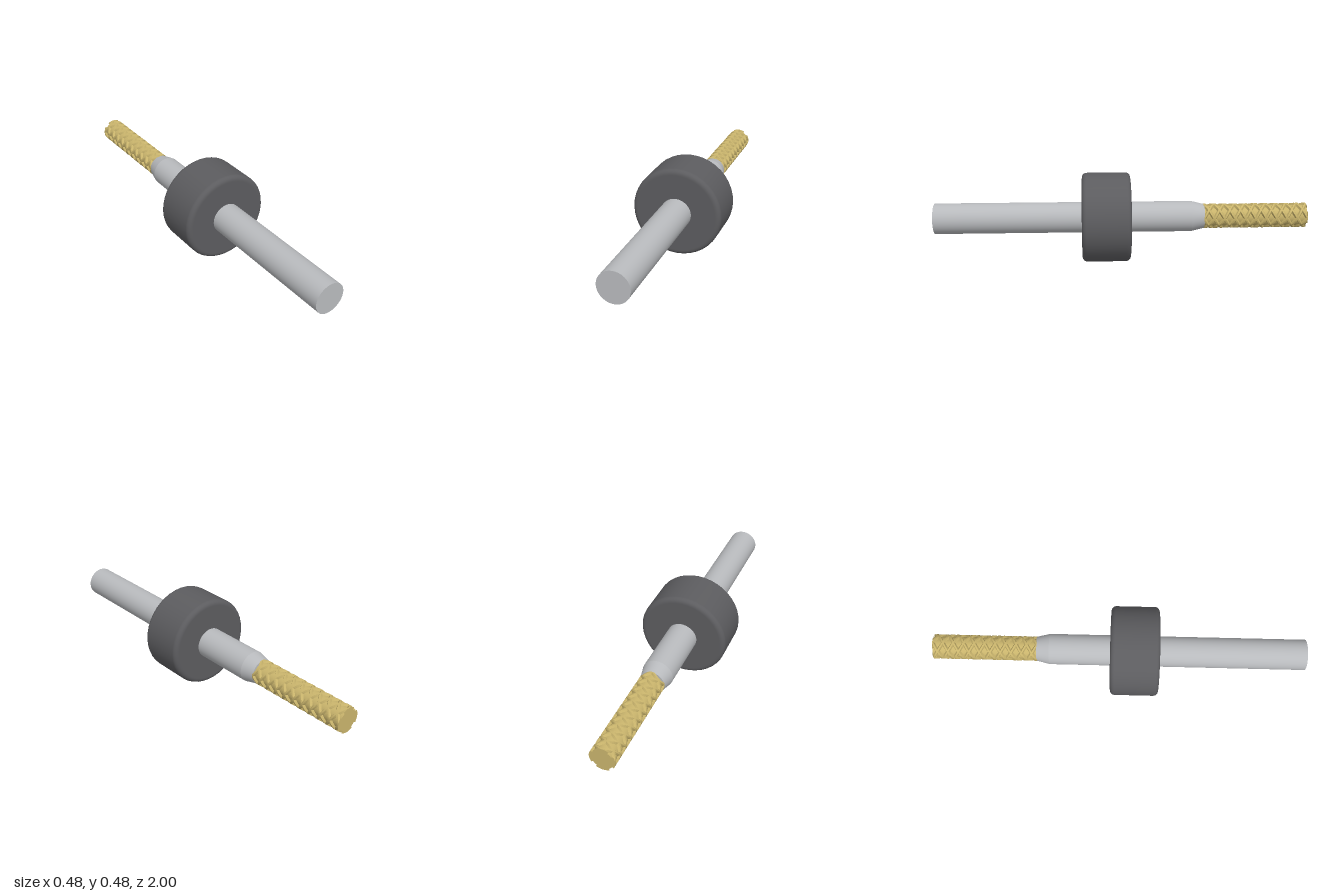
import * as THREE from 'three';

const AXIS_Y = 0.242;
const CUT_BACK = -1, CUT_FRONT = -0.44;

const steel = new THREE.MeshStandardMaterial({ color: 0xb8babd });
steel.name = 'steel';
const rubber = new THREE.MeshStandardMaterial({ color: 0x5c5c5f });
rubber.name = 'darkGrey';
const gold = new THREE.MeshStandardMaterial({ color: 0xc9b46c });
gold.name = 'gold';

function addMesh(group, name, geometry, material) {
  const mesh = new THREE.Mesh(geometry, material);
  mesh.name = name;
  group.add(mesh);
  return mesh;
}

// Cylinder or cone along z, from zBack to zFront
function rod(rFront, rBack, zBack, zFront, sides = 48) {
  return new THREE.CylinderGeometry(rFront, rBack, zFront - zBack, sides)
    .rotateX(Math.PI / 2)
    .translate(0, 0, (zFront + zBack) / 2);
}

// Disc with rounded rims, turned around z
function roundedDisc(radius, zBack, zFront, bevel) {
  const profile = [new THREE.Vector2(0, zBack), new THREE.Vector2(radius - bevel - 0.004, zBack)];
  const corner = (z, start) => {
    for (let i = 0; i <= 6; i++) {
      const a = start + (i / 6) * Math.PI / 2;
      profile.push(new THREE.Vector2(radius - bevel + Math.cos(a) * bevel, z + Math.sin(a) * bevel));
    }
  };
  corner(zBack + bevel, -Math.PI / 2);
  corner(zFront - bevel, 0);
  profile.push(new THREE.Vector2(radius - bevel - 0.004, zFront), new THREE.Vector2(0, zFront));
  return new THREE.LatheGeometry(profile, 40).rotateX(Math.PI / 2);
}

// Ridge profile swept along a helix and trimmed flat at both ends
function helicalRidge(startAngle, hand, pitch) {
  const profile = [[-0.013, 0.052], [-0.005, 0.066], [0.005, 0.066], [0.013, 0.052]];
  const z0 = CUT_BACK - 0.02, z1 = CUT_FRONT + 0.02, steps = 120;
  const positions = [], indices = [];
  for (let i = 0; i <= steps; i++) {
    const z = z0 + (z1 - z0) * i / steps;
    const a = startAngle + hand * (z - CUT_BACK) / pitch * Math.PI * 2;
    for (const [dz, r] of profile) {
      positions.push(Math.cos(a) * r, Math.sin(a) * r, THREE.MathUtils.clamp(z + dz, CUT_BACK, CUT_FRONT));
    }
  }
  const n = profile.length;
  for (let i = 0; i < steps; i++) {
    for (let j = 0; j < n - 1; j++) {
      const a = i * n + j, b = a + n, c = b + 1, d = a + 1;
      if (hand > 0) indices.push(a, b, d, b, c, d);
      else indices.push(a, d, b, b, d, c);
    }
  }
  const indexed = new THREE.BufferGeometry();
  indexed.setAttribute('position', new THREE.Float32BufferAttribute(positions, 3));
  indexed.setIndex(indices);
  const geometry = indexed.toNonIndexed();
  geometry.computeVertexNormals();
  return geometry;
}

export function createModel() {
  const model = new THREE.Group();
  model.name = 'rotaryCutter';
  const tool = new THREE.Group();
  tool.name = 'tool';
  tool.position.y = AXIS_Y;
  model.add(tool);

  // Shank, neck and depth collar
  addMesh(tool, 'shank', rod(0.082, 0.082, -0.375, 1), steel);
  addMesh(tool, 'neck', rod(0.082, 0.065, -0.445, -0.375), steel);
  addMesh(tool, 'collar', roundedDisc(0.24, -0.046, 0.212, 0.025), rubber);

  // Cutting head: core with four ridges wound each way
  const head = new THREE.Group();
  head.name = 'cuttingHead';
  tool.add(head);
  addMesh(head, 'cutterCore', rod(0.055, 0.055, CUT_BACK, CUT_FRONT, 32), gold);
  for (const hand of [1, -1]) {
    for (let i = 0; i < 4; i++) {
      addMesh(head, hand > 0 ? 'rightHandRidge' : 'leftHandRidge',
        helicalRidge(i * Math.PI / 2, hand, 0.224), gold);
    }
  }
  return model;
}
